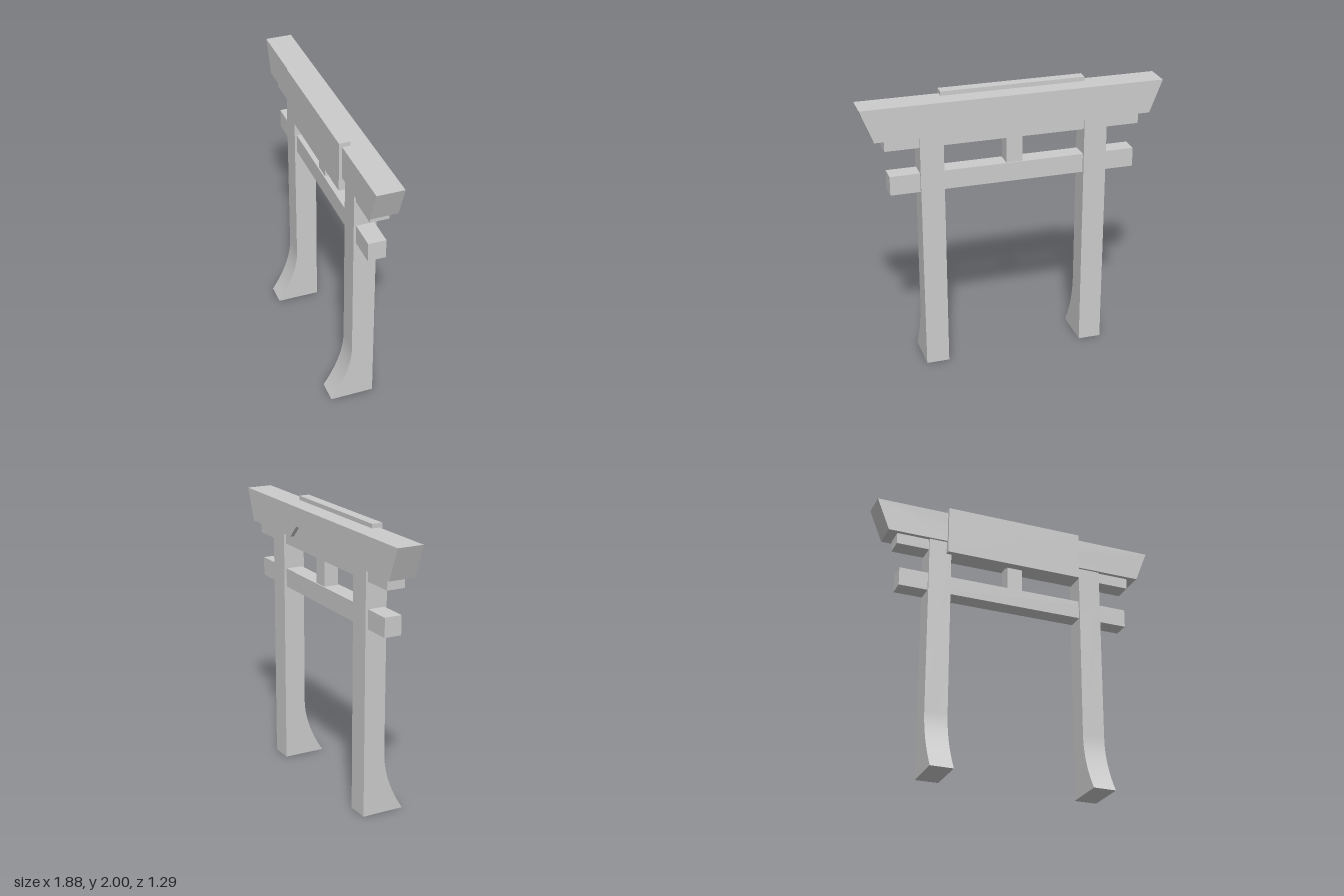
import * as THREE from 'three';
import { toCreasedNormals } from 'three/addons/utils/BufferGeometryUtils.js';

export function createModel() {
  const model = new THREE.Group();
  model.name = 'gate';
  const gate = new THREE.Group();
  gate.name = 'gateFrame';
  gate.rotation.y = THREE.MathUtils.degToRad(-32.5); // the gate stands askew
  model.add(gate);

  const material = new THREE.MeshStandardMaterial({ color: 0xcccccc });
  const add = (name, geometry) => {
    const mesh = new THREE.Mesh(geometry, material);
    mesh.name = name;
    gate.add(mesh);
    return mesh;
  };
  // box from its lower and upper limits along each axis
  const box = (name, [x0, x1], [y0, y1], [z0, z1]) =>
    add(name, new THREE.BoxGeometry(x1 - x0, y1 - y0, z1 - z0))
      .position.set((x0 + x1) / 2, (y0 + y1) / 2, (z0 + z1) / 2);
  // extrusion centred on its depth
  const extrude = (shape, depth) =>
    new THREE.ExtrudeGeometry(shape, { depth, bevelEnabled: false, curveSegments: 12 })
      .translate(0, 0, -depth / 2);

  // posts: side profile with a foot that sweeps out to the front
  const profile = new THREE.Shape();
  profile.moveTo(-0.08, 0);
  profile.lineTo(0.228, 0);
  profile.quadraticCurveTo(0.078, 0.23, 0.078, 0.44);
  profile.lineTo(0.078, 1.75);
  profile.lineTo(-0.08, 1.75);
  profile.closePath();
  const postGeometry = toCreasedNormals(extrude(profile, 0.163).rotateY(-Math.PI / 2), 0.4);
  for (const side of [-1, 1]) {
    add(side > 0 ? 'leftPost' : 'rightPost', postGeometry).position.x = side * 0.578;
  }

  // tie beam, short strut and lintel
  box('tieBeam', [-0.868, 0.868], [1.34, 1.475], [-0.062, 0.062]);
  box('strut', [-0.06, 0.055], [1.475, 1.66], [-0.053, 0.053]);
  box('lintel', [-0.895, 0.895], [1.66, 1.85], [-0.065, 0.065]);

  // roof beam: flared ends and a shallow notch cut into its underside
  const roof = new THREE.Shape([
    [-0.965, 1.74], [-0.37, 1.74], [-0.28, 1.83], [0.28, 1.83], [0.37, 1.74],
    [0.965, 1.74], [1.055, 1.97], [-1.055, 1.97],
  ].map(([x, y]) => new THREE.Vector2(x, y)));
  add('roofBeam', extrude(roof, 0.187));

  // panel on the front of the roof beam
  box('frontPanel', [-0.532, 0.483], [1.645, 2], [0.038, 0.115]);

  return model;
}
